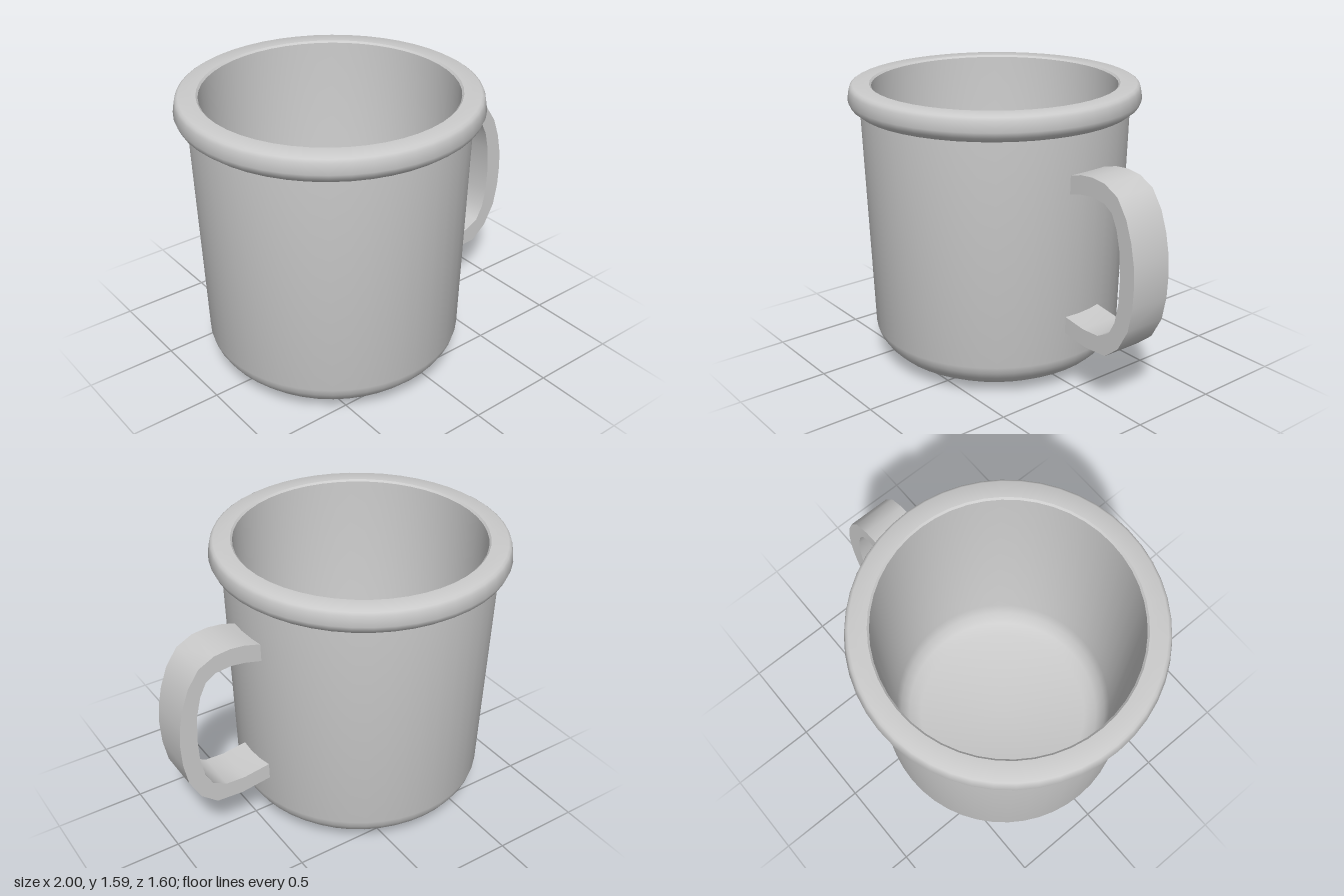
import * as THREE from 'three';
import { toCreasedNormals } from 'three/addons/utils/BufferGeometryUtils.js';

const material = new THREE.MeshStandardMaterial({ color: 0xcccccc });
const points = (list) => list.map(([x, y]) => new THREE.Vector2(x, y));

function part(name, geometry, crease) {
  const mesh = new THREE.Mesh(toCreasedNormals(geometry, crease), material);
  mesh.name = name;
  return mesh;
}

export function createModel() {
  const group = new THREE.Group();
  group.name = 'mug';

  // Cup: rounded base, tapered wall, rolled rim, then down the inside to the floor
  const profile = points([
    [0, 0], [0.2, 0.004], [0.38, 0.018], [0.56, 0.04],
    [0.62, 0.075], [0.665, 0.12], [0.69, 0.16], [0.702, 0.2],
    [0.735, 1.45], [0.752, 1.452], [0.785, 1.478], [0.799, 1.51],
    [0.79, 1.565], [0.783, 1.582], [0.77, 1.59], [0.68, 1.59], [0.67, 1.58],
    [0.635, 0.28], [0.615, 0.2], [0.57, 0.14], [0.5, 0.11], [0, 0.1],
  ]);
  const cup = part('cup', new THREE.LatheGeometry(profile, 48), 0.75);
  cup.position.x = -0.2;
  group.add(cup);

  // Handle: flat strap, outer edge from top to bottom, then back along the inner edge
  const strap = new THREE.Shape(points([
    [0.475, 1.228], [0.53, 1.243], [0.6, 1.262], [0.68, 1.27], [0.77, 1.26], [0.86, 1.215],
    [0.925, 1.12], [0.965, 1.01], [0.988, 0.9], [0.996, 0.8], [0.99, 0.67],
    [0.965, 0.54], [0.9, 0.42], [0.81, 0.345], [0.66, 0.335], [0.475, 0.36],
    [0.475, 0.455], [0.64, 0.432], [0.75, 0.437], [0.83, 0.48], [0.87, 0.555],
    [0.892, 0.66], [0.898, 0.8], [0.888, 0.94], [0.862, 1.05], [0.825, 1.125],
    [0.77, 1.16], [0.68, 1.17], [0.6, 1.16], [0.475, 1.128],
  ]));
  const handle = part('handle', new THREE.ExtrudeGeometry(strap, { depth: 0.24, bevelEnabled: false }), 0.75);
  handle.position.z = -0.157;
  group.add(handle);

  return group;
}
